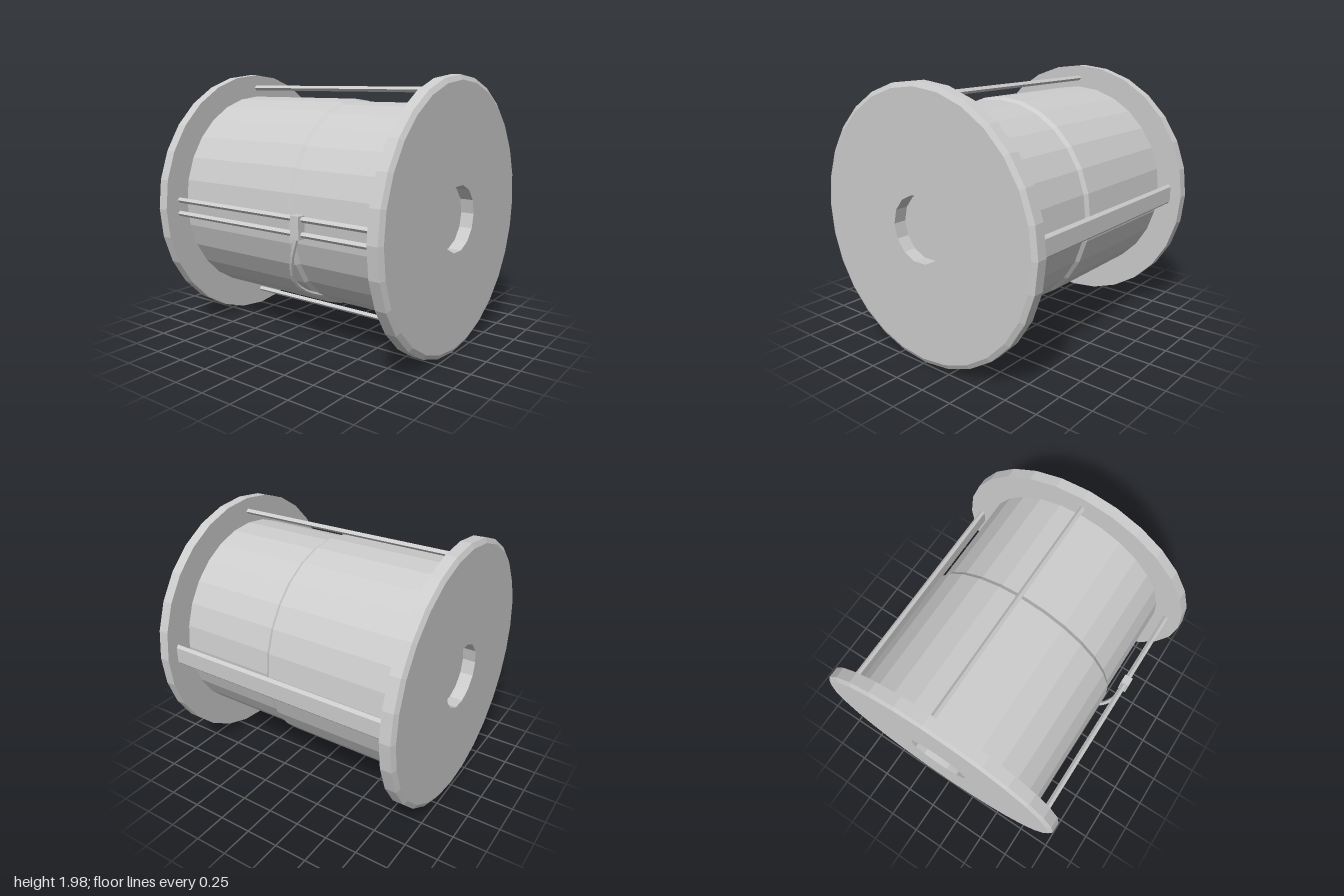
import * as THREE from 'three';

const SIDES = 28, CY = 0.997;
const mat = new THREE.MeshStandardMaterial({ color: 0xcccccc, flatShading: true });

function part(name, geometry, x = 0, y = 0, z = 0) {
  const mesh = new THREE.Mesh(geometry, mat);
  mesh.name = name;
  mesh.position.set(x, y, z);
  return mesh;
}

// Solid of revolution about z from [radius, z] pairs
function turned(points) {
  const profile = points.map(([r, z]) => new THREE.Vector2(r, z));
  return new THREE.LatheGeometry(profile, SIDES).rotateX(Math.PI / 2);
}

function ring(r, n) {
  return Array.from({ length: n }, (_, i) => {
    const a = (i / n) * Math.PI * 2;
    return new THREE.Vector2(r * Math.cos(a), r * Math.sin(a));
  });
}

// Chamfered disc with a blind axle recess in its outer face
function flange(name) {
  const R = 0.99, faceR = 0.955, holeR = 0.24, holeSides = 14;
  const g = new THREE.Group();
  g.name = name;
  g.add(part('flangeRim', turned([[0, 0.9], [R, 0.9], [R, 0.98], [faceR, 1]])));
  const face = new THREE.Shape(ring(faceR, SIDES));
  face.holes.push(new THREE.Path(ring(holeR, holeSides).reverse()));
  g.add(part('flangeFace', new THREE.ShapeGeometry(face), 0, 0, 1));
  // Recess wall, turned inside out so it faces the axis
  const wall = new THREE.CylinderGeometry(holeR, holeR, 0.098, holeSides, 1, true, Math.PI / 2);
  wall.rotateX(Math.PI / 2);
  wall.index.array.reverse();
  g.add(part('axleRecessWall', wall, 0, 0, 0.951));
  g.add(part('axleRecessFloor', new THREE.CircleGeometry(holeR, holeSides), 0, 0, 0.902));
  g.position.y = CY;
  return g;
}

// Diamond-section bar between the flanges; half > 0 stretches it into a plank
function bar(name, x, y, half = 0) {
  const r = 0.02;
  const pts = half
    ? [[r, -half], [r, half], [0, half + r], [-r, half], [-r, -half], [0, -half - r]]
    : [[r, 0], [0, r], [-r, 0], [0, -r]];
  const shape = new THREE.Shape(pts.map(([px, py]) => new THREE.Vector2(px, py)));
  const geo = new THREE.ExtrudeGeometry(shape, { depth: 1.81, bevelEnabled: false });
  return part(name, geo, x, y, -0.905);
}

export function createModel() {
  const model = new THREE.Group();
  model.name = 'cableReel';

  // End discs
  const back = flange('backFlange');
  back.rotation.y = Math.PI;
  model.add(flange('frontFlange'), back);

  // Wound drum, with a step where the top layer of cable ends
  const drum = turned([[0.789, -0.9], [0.789, 0.115], [0.769, 0.145], [0.769, 0.9]]);
  model.add(part('woundDrum', drum, 0, 1.022, 0));

  // Tie bars
  model.add(
    bar('topRod', 0, 1.883),
    bar('bottomRod', 0, 0.133),
    bar('leftPlank', 0.878, 1.008, 0.06),
    bar('rightUpperRod', -0.865, 1.055),
    bar('rightLowerRod', -0.865, 0.952)
  );

  // Clip holding the loose end of the cable
  model.add(part('cableClip', new THREE.BoxGeometry(0.064, 0.16, 0.07), -0.869, 1.0, 0.27));

  // Loose cable end leaving the drum and rising to the clip
  const path = new THREE.CatmullRomCurve3([
    [-0.45, 0.395, 0.13], [-0.63, 0.475, 0.135], [-0.766, 0.58, 0.15],
    [-0.848, 0.76, 0.2], [-0.868, 0.95, 0.27]
  ].map(p => new THREE.Vector3(...p)));
  model.add(part('looseCable', new THREE.TubeGeometry(path, 14, 0.016, 6)));

  return model;
}
